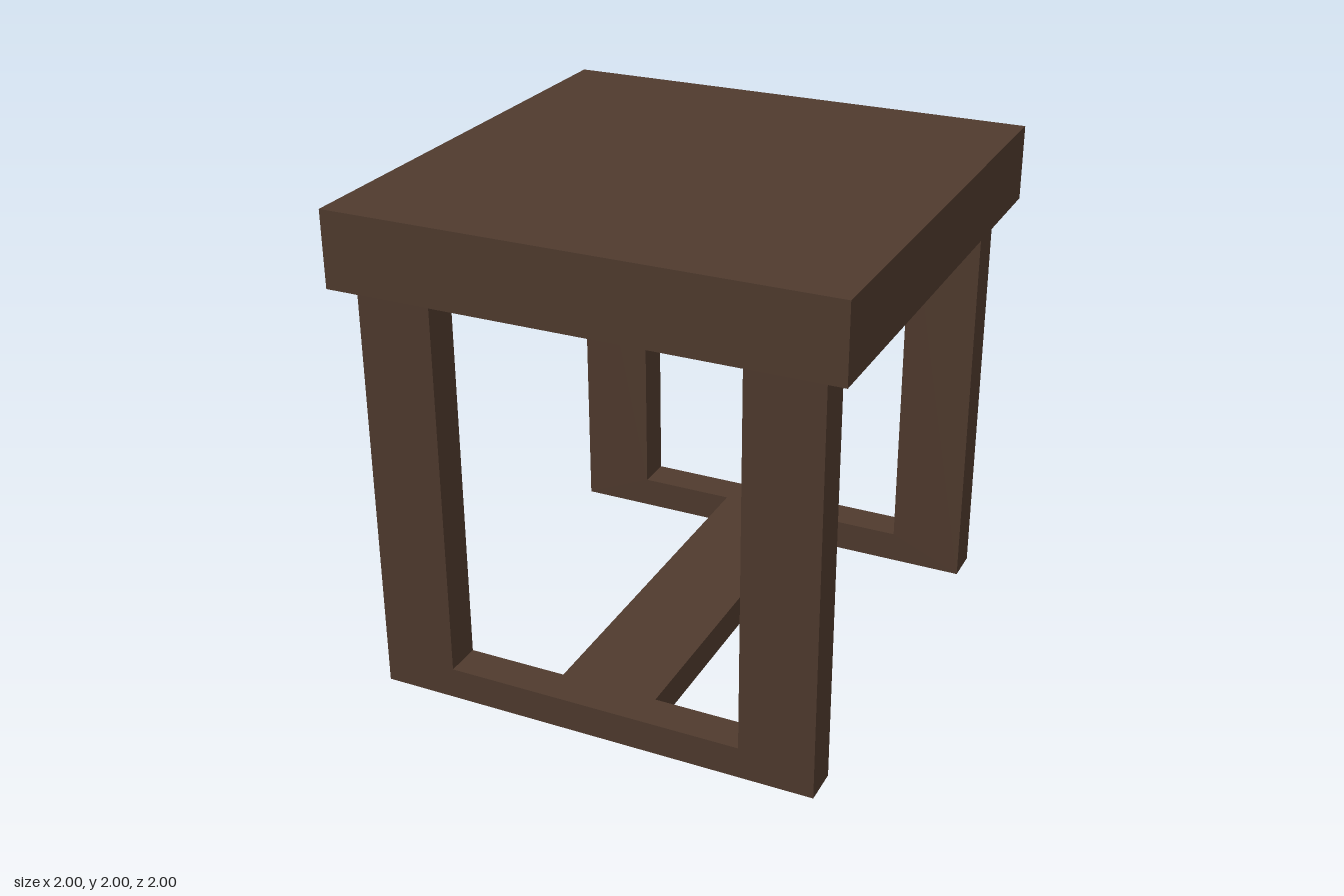
import * as THREE from 'three';

export function createModel() {
  const model = new THREE.Group();
  model.name = 'sideTable';
  const wood = new THREE.MeshStandardMaterial({ color: 0x503b2e, side: THREE.DoubleSide });
  wood.name = 'dark walnut';

  const W = 0.91, IN = 0.61, TOP = 1.695, RAIL = 0.13; // leg outer/inner x, leg top, rail height
  const ZO = 0.94, ZI = 0.79, S = 0.2;                 // frame outer/inner z, stretcher half width

  function add(parent, name, geometry, x = 0, y = 0, z = 0, rx = 0, ry = 0) {
    const mesh = new THREE.Mesh(geometry, wood);
    mesh.name = name;
    mesh.position.set(x, y, z);
    mesh.rotation.set(rx, ry, 0);
    parent.add(mesh);
  }
  const outline = (pts) =>
    new THREE.ShapeGeometry(new THREE.Shape(pts.map(([x, y]) => new THREE.Vector2(x, y))));

  // Thick top slab
  add(model, 'tableTop', new THREE.BoxGeometry(2, 0.305, 2), 0, 1.8475, 0);

  // U-shaped end frames: hollow boards, open underneath
  const uFace = outline([[-W, 0], [W, 0], [W, TOP], [IN, TOP], [IN, RAIL], [-IN, RAIL], [-IN, TOP], [-W, TOP]]);
  const lFaces = [1, -1].map((s) =>
    outline([[S, 0], [W, 0], [W, TOP], [IN, TOP], [IN, RAIL], [S, RAIL]].map(([x, y]) => [s * x, y])));
  const depth = ZO - ZI, zc = (ZO + ZI) / 2;

  for (const [name, turn] of [['frontFrame', 0], ['backFrame', Math.PI]]) {
    const frame = new THREE.Group();
    frame.name = name;
    frame.rotation.y = turn;
    add(frame, 'outerFace', uFace, 0, 0, ZO);
    // Inner faces leave an opening where the stretcher joins
    for (const l of lFaces) add(frame, 'innerFace', l, 0, 0, ZI, 0, Math.PI);
    for (const s of [1, -1]) {
      add(frame, 'legOuterSide', new THREE.PlaneGeometry(depth, TOP), s * W, TOP / 2, zc, 0, s * Math.PI / 2);
      add(frame, 'legInnerSide', new THREE.PlaneGeometry(depth, TOP - RAIL),
        s * IN, (TOP + RAIL) / 2, zc, 0, -s * Math.PI / 2);
    }
    add(frame, 'railTop', new THREE.PlaneGeometry(2 * IN, depth), 0, RAIL, zc, -Math.PI / 2);
    model.add(frame);
  }

  // Stretcher joining the frames: a channel open underneath
  const stretcher = new THREE.Group();
  stretcher.name = 'stretcher';
  add(stretcher, 'stretcherTop', new THREE.PlaneGeometry(2 * S, 2 * ZI), 0, RAIL, 0, -Math.PI / 2);
  for (const s of [1, -1])
    add(stretcher, 'stretcherSide', new THREE.PlaneGeometry(2 * ZI, RAIL), s * S, RAIL / 2, 0, 0, s * Math.PI / 2);
  model.add(stretcher);

  return model;
}
